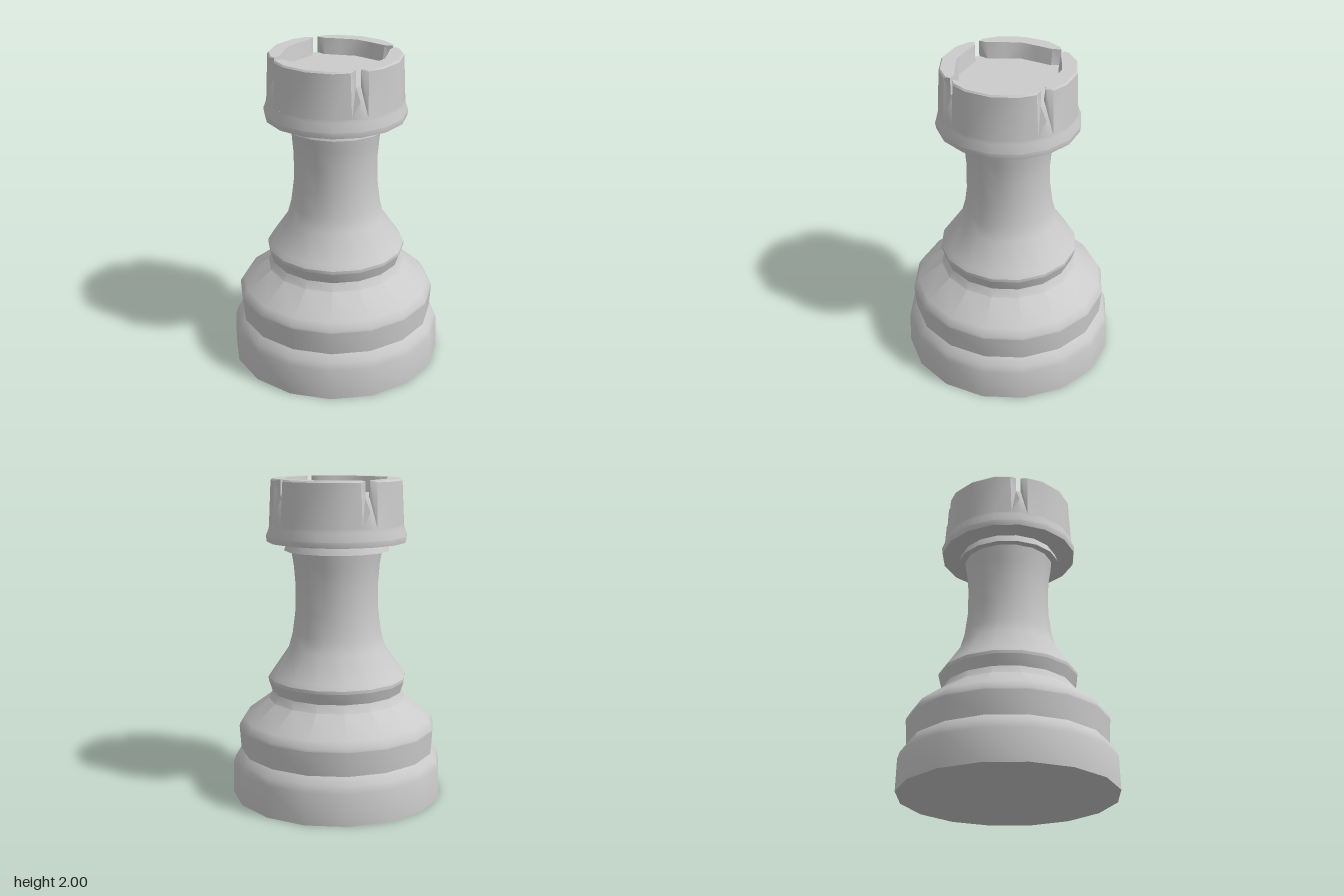
import * as THREE from 'three';
import { toCreasedNormals } from 'three/addons/utils/BufferGeometryUtils.js';

const SIDES = 16;
const CREASE = Math.PI / 6;
const material = new THREE.MeshStandardMaterial({ color: 0xcccccc });

function addMesh(group, name, geometry) {
  const mesh = new THREE.Mesh(toCreasedNormals(geometry, CREASE), material);
  mesh.name = name;
  group.add(mesh);
}

// Turned part from [radius, height] pairs, bottom to top
function addTurned(group, name, profile) {
  const points = profile.map(([r, y]) => new THREE.Vector2(r, y));
  addMesh(group, name, new THREE.LatheGeometry(points, SIDES));
}

// Four battlements, from one half-sector mirrored and turned about the axis
function battlementGeometry() {
  const at = (r, y, step) => {
    const a = (step * Math.PI) / 8;
    return [r * Math.sin(a), y, r * Math.cos(a)];
  };
  const low = 1.72, floor = 1.9, top = 2;
  const base = [0, low, 0.42], apex = [0, 1.82, 0.413];
  const outerLow = [[0.05, low, 0.41], at(0.42, low, 1), at(0.42, low, 2)];
  const outerTop = [[0.055, 1.99, 0.396], at(0.407, 1.99, 1), at(0.407, 1.99, 2)];
  const rim = [[0.05, top, 0.388], at(0.399, top, 1), at(0.399, top, 2)];
  const innerTop = [[0.045, top, 0.332], [0.133, top, 0.28], [0.222, top, 0.222]];
  const innerLow = [[0.04, floor, 0.32], [0.126, floor, 0.267], [0.213, floor, 0.213]];
  const neckTop = [0.015, top, 0.375], neckLow = [0.015, floor, 0.375];
  const faces = [
    // Slot cheeks, pointed slot foot and inner flare
    [base, outerLow[0], apex],
    [outerLow[0], outerTop[0], neckTop, neckLow],
    [outerLow[0], neckLow, apex],
    [outerTop[0], rim[0], neckTop],
    [neckLow, neckTop, innerTop[0], innerLow[0]],
    [apex, neckLow, [0, floor, 0.375]],
    [neckTop, rim[0], innerTop[0]],
  ];
  // Outer wall, bevel, top and inner wall
  for (let i = 0; i < 2; i++) {
    const rows = [outerLow, outerTop, rim, innerTop, innerLow];
    for (let k = 0; k < rows.length - 1; k++) {
      faces.push([rows[k][i], rows[k][i + 1], rows[k + 1][i + 1], rows[k + 1][i]]);
    }
  }
  const positions = [];
  for (let turn = 0; turn < 4; turn++) {
    const c = Math.round(Math.cos((turn * Math.PI) / 2));
    const s = Math.round(Math.sin((turn * Math.PI) / 2));
    for (const mirror of [1, -1]) {
      for (const face of faces) {
        const p = face.map(([x, y, z]) => [mirror * x * c + z * s, y, z * c - mirror * x * s]);
        if (mirror < 0) p.reverse();
        for (let i = 1; i < p.length - 1; i++) positions.push(...p[0], ...p[i], ...p[i + 1]);
      }
    }
  }
  const geometry = new THREE.BufferGeometry();
  geometry.setAttribute('position', new THREE.Float32BufferAttribute(positions, 3));
  return geometry;
}

export function createModel() {
  const group = new THREE.Group();
  group.name = 'rook';

  addTurned(group, 'foot', [[0, 0], [0.67, 0], [0.665, 0.2], [0.65, 0.245], [0.615, 0.29]]);
  addTurned(group, 'band', [[0.615, 0.29], [0.625, 0.44]]);
  addTurned(group, 'shoulder', [[0.625, 0.44], [0.622, 0.455], [0.595, 0.5], [0.435, 0.62], [0.412, 0.67]]);
  addTurned(group, 'ring', [[0.412, 0.67], [0.435, 0.74]]);
  addTurned(group, 'stem', [
    [0.435, 0.74], [0.435, 0.76], [0.415, 0.79], [0.305, 0.95], [0.28, 1.04],
    [0.262, 1.18], [0.26, 1.35], [0.27, 1.47], [0.285, 1.56],
  ]);
  addTurned(group, 'collar', [[0.28, 1.56], [0.33, 1.56], [0.305, 1.62]]);
  addTurned(group, 'head', [[0.29, 1.615], [0.435, 1.615], [0.44, 1.65], [0.422, 1.7], [0.42, 1.72]]);
  addMesh(group, 'battlements', battlementGeometry());

  // Floor between the battlements
  const floor = new THREE.CircleGeometry(0.376, SIDES);
  floor.rotateX(-Math.PI / 2).translate(0, 1.9, 0);
  addMesh(group, 'topFloor', floor);

  return group;
}
